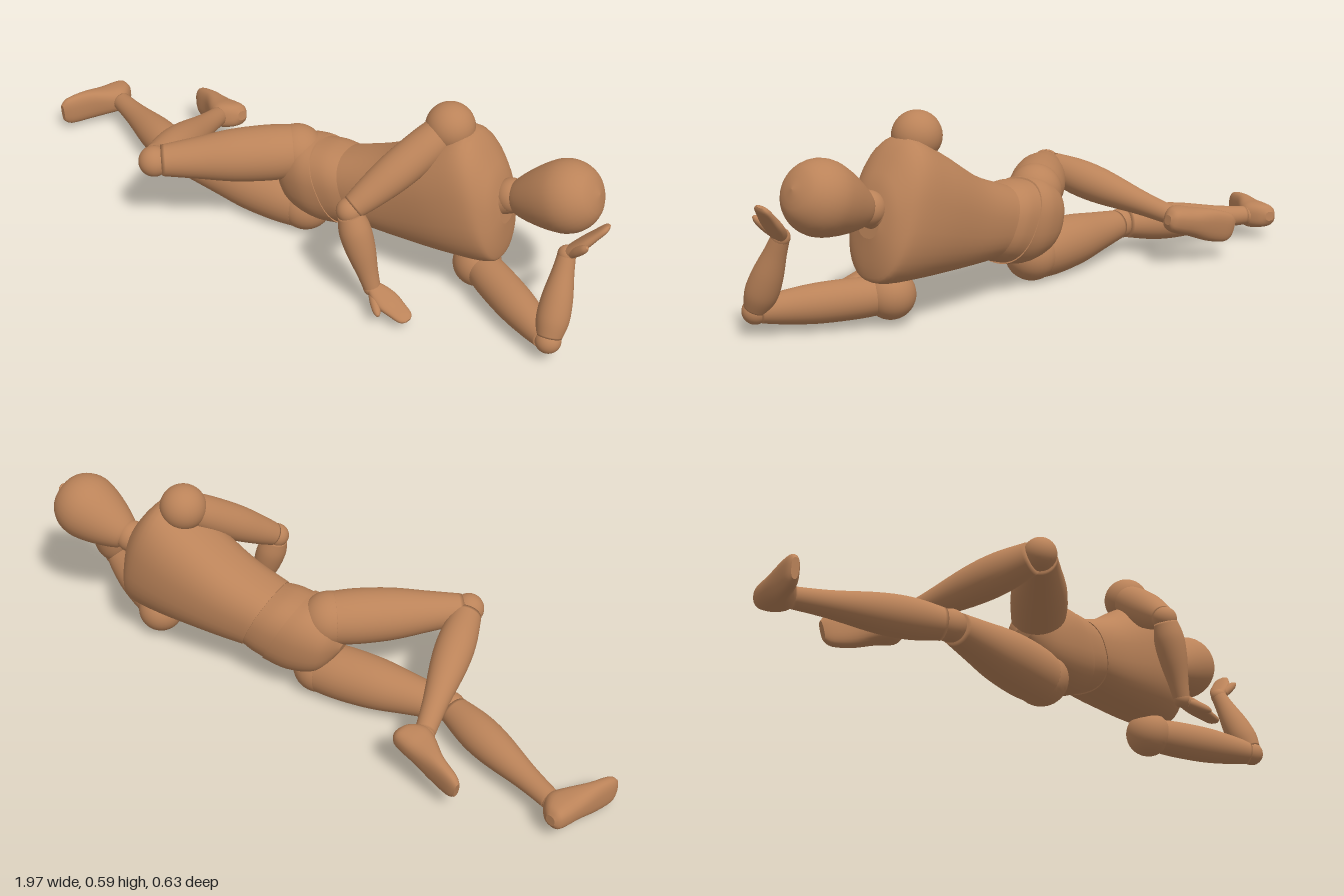
import * as THREE from 'three';

const wood = new THREE.MeshStandardMaterial({ color: 0xbb8359 });
wood.name = 'warm wood';
const V = (a) => new THREE.Vector3(...a);

function add(parent, name, geometry) {
  const mesh = new THREE.Mesh(geometry, wood);
  mesh.name = name;
  parent.add(mesh);
  return mesh;
}

// Closed skin over rounded rings; each ring has a centre c and half axes u, v
function loft(rings, power = 0.85, n = 40) {
  const pos = [], idx = [];
  const flat = (r) => ({ c: r.c, u: V([0, 0, 0]), v: V([0, 0, 0]) });
  const first = rings[0], last = rings[rings.length - 1];
  const all = [flat(first), first, ...rings, last, flat(last)];
  const soft = (x) => Math.sign(x) * Math.pow(Math.abs(x), power);
  all.forEach((r, i) => {
    for (let j = 0; j < n; j++) {
      const a = (j / n) * Math.PI * 2;
      const p = r.c.clone().addScaledVector(r.u, soft(Math.cos(a))).addScaledVector(r.v, soft(Math.sin(a)));
      pos.push(p.x, p.y, p.z);
      if (i === all.length - 1) continue;
      const k = (j + 1) % n, b = i * n, t = b + n;
      idx.push(b + j, b + k, t + k, b + j, t + k, t + j);
    }
  });
  const g = new THREE.BufferGeometry();
  g.setAttribute('position', new THREE.Float32BufferAttribute(pos, 3));
  g.setIndex(idx);
  g.computeVertexNormals();
  return g;
}

// Smoothly fills in rows of numbers between the given sections
function refine(rows, steps = 5) {
  const out = [];
  const last = rows.length - 1;
  for (let i = 0; i <= last * steps; i++) {
    const k = Math.min(Math.floor(i / steps), last - 1), t = i / steps - k;
    const at = (m) => rows[Math.max(0, Math.min(last, m))];
    out.push(rows[0].map((_, c) => {
      const [a, b, d, e] = [at(k - 1)[c], at(k)[c], at(k + 1)[c], at(k + 2)[c]];
      const m0 = (d - a) / 2, m1 = (e - b) / 2;
      return b + m0 * t + (3 * (d - b) - 2 * m0 - m1) * t * t + (2 * (b - d) + m0 + m1) * t * t * t;
    }));
  }
  return out;
}

// Torso rows: upper x, y, lower x, y, back z, front z
const torso = (rows) => loft(refine(rows).map(([tx, ty, bx, by, z0, z1]) => ({
  c: V([(tx + bx) / 2, (ty + by) / 2, (z0 + z1) / 2]),
  u: V([(tx - bx) / 2, (ty - by) / 2, 0]),
  v: V([0, 0, (z1 - z0) / 2]),
})));

// Hand and foot rows: z along the part, bottom y, top y, half width
const slab = (rows) => loft(refine(rows, 4).map(([z, y0, y1, w]) => ({
  c: V([0, (y0 + y1) / 2, z]), u: V([w, 0, 0]), v: V([0, (y1 - y0) / 2, 0]),
})), 0.8, 28);

// Turned segment from a to b; profile is [fraction of length, radius]
function limb(parent, name, a, b, profile) {
  const dir = V(b).sub(V(a)), len = dir.length();
  const side = new THREE.SplineCurve(profile.map(([t, r]) => new THREE.Vector2(r, t * len))).getPoints(24);
  const pts = [new THREE.Vector2(0, side[0].y), ...side, new THREE.Vector2(0, side[24].y)];
  const mesh = add(parent, name, new THREE.LatheGeometry(pts, 32));
  mesh.position.copy(V(a));
  mesh.quaternion.setFromUnitVectors(V([0, 1, 0]), dir.normalize());
}

function ball(parent, name, p, r) {
  add(parent, name, new THREE.SphereGeometry(r, 32, 20)).position.set(...p);
}

// Places a group so its z follows forward and its y follows up
function place(group, p, forward, up) {
  const z = V(forward).normalize();
  const x = V(up).cross(z).normalize();
  const y = z.clone().cross(x);
  group.quaternion.setFromRotationMatrix(new THREE.Matrix4().makeBasis(x, y, z));
  group.position.set(...p);
}

function arm(side, { shoulder, elbow, wrist, fingers, palmUp, thumb }) {
  const g = new THREE.Group();
  g.name = side + 'Arm';
  ball(g, 'shoulderBall', shoulder, 0.071);
  limb(g, 'upperArm', shoulder, elbow, [[0.06, 0.052], [0.25, 0.057], [0.55, 0.056], [0.8, 0.046], [0.96, 0.036]]);
  ball(g, 'elbowBall', elbow, 0.037);
  limb(g, 'forearm', elbow, wrist, [[0.05, 0.036], [0.25, 0.046], [0.5, 0.043], [0.8, 0.031], [1, 0.025]]);
  ball(g, 'wristBall', wrist, 0.026);
  const hand = new THREE.Group();
  hand.name = 'hand';
  add(hand, 'palm', slab([[0, -0.018, 0.018, 0.02], [0.03, -0.019, 0.017, 0.031], [0.065, -0.018, 0.014, 0.036],
    [0.1, -0.016, 0.01, 0.031], [0.135, -0.014, 0.006, 0.024], [0.148, -0.007, 0, 0.01]]));
  limb(hand, 'thumb', [thumb * 0.015, -0.004, 0.02], [thumb * 0.052, -0.008, 0.08],
    [[0, 0.013], [0.4, 0.014], [0.8, 0.011], [1, 0.004]]);
  place(hand, wrist, fingers, palmUp);
  g.add(hand);
  return g;
}

function leg(side, { hip, knee, ankle, toe, up }) {
  const g = new THREE.Group();
  g.name = side + 'Leg';
  ball(g, 'hipBall', hip, 0.082);
  limb(g, 'thigh', hip, knee, [[0.02, 0.08], [0.2, 0.084], [0.45, 0.079], [0.7, 0.063], [0.95, 0.047]]);
  ball(g, 'kneeBall', knee, 0.047);
  limb(g, 'shin', knee, ankle, [[0.05, 0.046], [0.25, 0.058], [0.45, 0.056], [0.75, 0.038], [0.98, 0.03]]);
  ball(g, 'ankleBall', ankle, 0.033);
  const foot = add(g, 'foot', slab([[-0.06, -0.062, -0.03, 0.015], [-0.045, -0.075, -0.005, 0.034], [-0.01, -0.078, 0.022, 0.042],
    [0.03, -0.077, 0.015, 0.044], [0.1, -0.076, -0.02, 0.051], [0.165, -0.075, -0.036, 0.047], [0.188, -0.068, -0.047, 0.03]]));
  place(foot, ankle, toe, up);
  g.add(foot);
  return g;
}

export function createModel() {
  const model = new THREE.Group();
  model.name = 'recliningFigure';

  // Trunk
  add(model, 'chest', torso([
    [0.145, 0.333, 0.24, 0.123, -0.115, 0.105],
    [0.28, 0.385, 0.36, 0.124, -0.128, 0.115],
    [0.43, 0.48, 0.53, 0.13, -0.143, 0.128],
    [0.535, 0.53, 0.645, 0.14, -0.135, 0.118],
    [0.62, 0.445, 0.668, 0.17, -0.1, 0.085],
    [0.652, 0.375, 0.67, 0.27, -0.05, 0.035],
  ]));
  add(model, 'abdomen', torso([
    [0.05, 0.33, 0.165, 0.1, -0.117, 0.107],
    [0.1, 0.335, 0.205, 0.113, -0.118, 0.107],
    [0.15, 0.33, 0.24, 0.127, -0.112, 0.102],
  ]));
  add(model, 'pelvis', torso([
    [-0.085, 0.225, -0.075, 0.19, -0.03, 0.025],
    [-0.06, 0.29, -0.015, 0.11, -0.09, 0.08],
    [0.0, 0.33, 0.08, 0.085, -0.117, 0.107],
    [0.05, 0.335, 0.17, 0.097, -0.12, 0.11],
  ]));

  // Neck and egg-shaped head
  ball(model, 'neckBall', [0.67, 0.355, -0.015], 0.05);
  limb(model, 'neck', [0.64, 0.34, -0.012], [0.74, 0.375, -0.015], [[0, 0.05], [0.5, 0.044], [1, 0.042]]);
  limb(model, 'head', [0.687, 0.352, -0.015], [0.927, 0.452, -0.015],
    [[0, 0.04], [0.03, 0.052], [0.2, 0.074], [0.42, 0.095], [0.62, 0.104], [0.8, 0.092], [0.94, 0.058], [1, 0.0]]);

  // Arms: the upper one braces in front, the lower one props the head
  model.add(arm('left', {
    shoulder: [0.475, 0.524, -0.004], elbow: [0.3, 0.325, 0.25], wrist: [0.38, 0.088, 0.25],
    fingers: [0.135, -0.035, 0.035], palmUp: [0.2, 1, 0.25], thumb: -1,
  }));
  model.add(arm('right', {
    shoulder: [0.585, 0.095, -0.005], elbow: [0.9, 0.078, 0.19], wrist: [0.888, 0.3, 0.085],
    fingers: [0.09, 0.105, -0.04], palmUp: [-0.75, 0.65, 0], thumb: -1,
  }));

  // Legs: the upper one bends forward and back, the lower one lies stretched out
  model.add(leg('left', {
    hip: [-0.02, 0.28, 0.01], knee: [-0.36, 0.27, 0.27], ankle: [-0.445, 0.155, -0.195],
    toe: [-0.95, -0.22, -0.28], up: [0.2, 0.22, 0.95],
  }));
  model.add(leg('right', {
    hip: [0.005, 0.092, 0], knee: [-0.43, 0.1, 0.015], ankle: [-0.85, 0.085, -0.19],
    toe: [-0.37, -0.06, 0.93], up: [0.91, 0, 0.42],
  }));
  return model;
}
